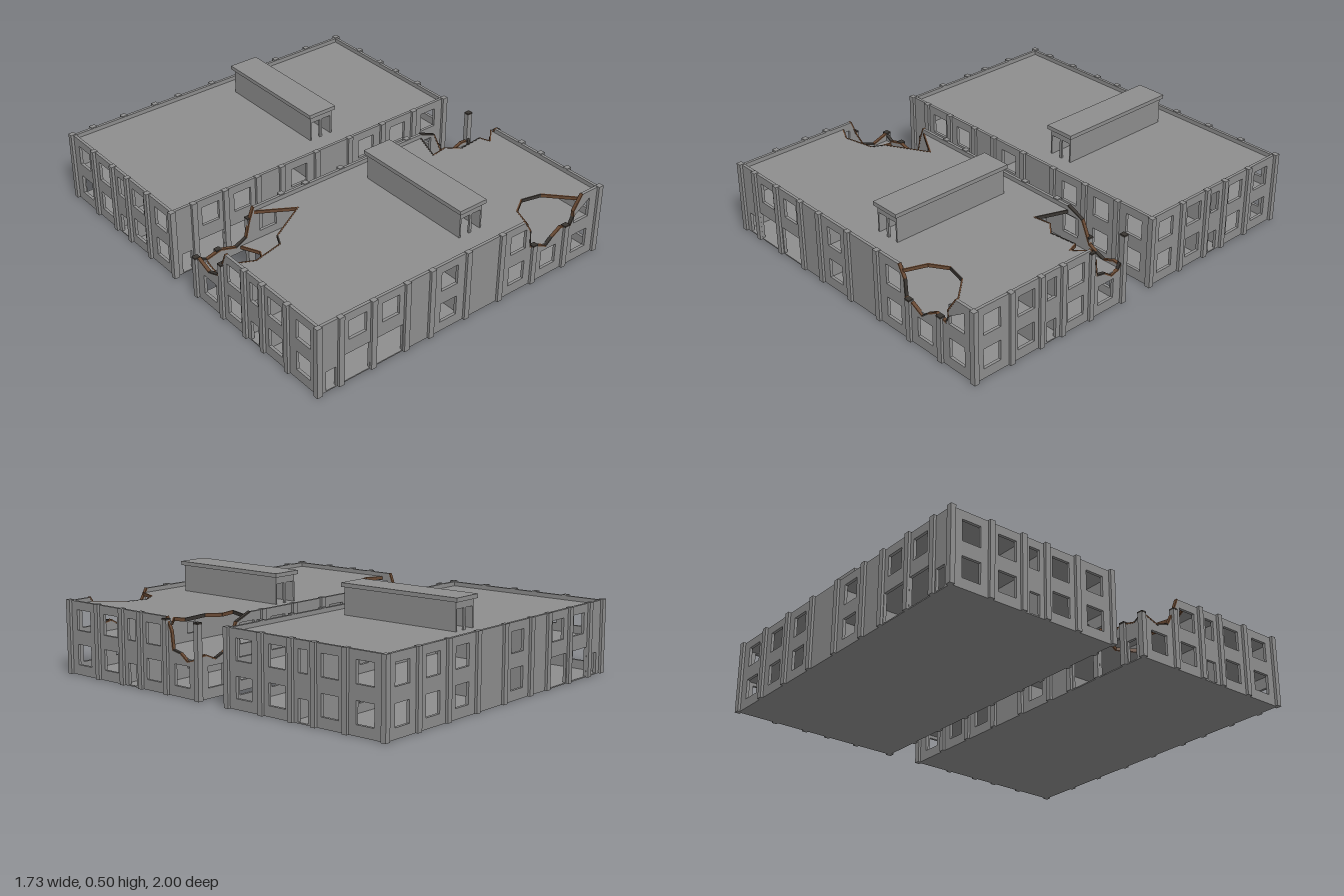
import * as THREE from 'three';

const mat = (name, color, side = THREE.FrontSide) => {
  const m = new THREE.MeshStandardMaterial({ color, side });
  m.name = name;
  return m;
};
const concrete = mat('concrete grey', 0x8e8e8e);
const brick = mat('broken brick brown', 0x664731);
const core = mat('dark rubble', 0x3a3632);

const W = 0.85, D = 0.447, H = 0.366, T = 0.015; // half width, half depth, wall height, thickness

function box(parent, name, w, h, d, x, y, z, m = concrete) {
  const mesh = new THREE.Mesh(new THREE.BoxGeometry(w, h, d), m);
  mesh.name = name;
  mesh.position.set(x, y, z);
  parent.add(mesh);
  return mesh;
}

// Flat panel with rectangular openings [centre, bottom, width, height] and strips along broken edges
function panel(name, outline, openings, breaks) {
  const group = new THREE.Group();
  group.name = name;
  const shape = new THREE.Shape(outline.map(p => new THREE.Vector2(p[0], p[1])));
  for (const [c, y, w, h] of openings) {
    shape.holes.push(new THREE.Path([[-1, 0], [-1, 1], [1, 1], [1, 0]]
      .map(([a, b]) => new THREE.Vector2(c + a * w / 2, y + b * h))));
  }
  const geo = new THREE.ExtrudeGeometry(shape, { depth: T, bevelEnabled: false });
  geo.translate(0, 0, -T / 2);
  const mesh = new THREE.Mesh(geo, concrete);
  mesh.name = name + 'Panel';
  group.add(mesh);
  for (const line of breaks) {
    for (let i = 1; i < line.length; i++) {
      const [ax, ay] = line[i - 1], [bx, by] = line[i];
      const strip = box(group, 'brokenEdge', Math.hypot(bx - ax, by - ay) + 0.003, 0.007, T + 0.002,
        (ax + bx) / 2, (ay + by) / 2, 0, i % 3 ? brick : core);
      strip.rotation.z = Math.atan2(by - ay, bx - ax);
    }
  }
  return group;
}

// Upright wall; breaks run along the top from +w to -w
function wall(name, w, openings, breaks = []) {
  const top = breaks.flat();
  const outline = [[-w, 0], [w, 0]];
  if (!top.length || top[0][0] < w) outline.push([w, H]);
  outline.push(...top);
  if (!top.length || top[top.length - 1][0] > -w) outline.push([-w, H]);
  return panel(name, outline, openings, breaks);
}

// Openings of the long walls and of the end walls; skip lists upper windows lost to damage
const longOpenings = (skip = []) => [
  ...[-0.635, -0.45, -0.107, 0.32, 0.53, 0.74].filter(x => !skip.includes(x)).map(x => [x, 0.222, 0.097, 0.102]),
  ...[-0.107, 0.32, 0.53, 0.74].map(x => [x, 0.05, 0.097, 0.102]),
  [-0.64, 0.004, 0.15, 0.146], [-0.453, 0.004, 0.15, 0.146], [-0.78, 0.004, 0.055, 0.106]];
const endOpenings = (skip = []) => [
  ...[-0.34, -0.15, 0.15, 0.347].filter(z => !skip.includes(z)).map(z => [z, 0.222, 0.097, 0.102]),
  ...[-0.34, -0.15, 0.15, 0.347].map(z => [z, 0.05, 0.097, 0.102]),
  [0, 0.222, 0.055, 0.104], [0, 0.004, 0.055, 0.106]];

const longPosts = [-0.85, -0.73, -0.55, -0.36, -0.215, 0, 0.21, 0.425, 0.635, 0.85];
const endPosts = [-0.24, -0.065, 0.065, 0.24];

// Break lines of the ruined building
const ruin = {
  front: [[[0.735, H], [0.685, 0.29], [0.688, 0.26], [0.67, 0.22], [0.605, 0.235], [0.55, 0.203],
    [0.51, 0.17], [0.45, 0.2], [0.4, 0.215], [0.395, 0.305], [0.36, H]]],
  back: [
    [[0.85, 0.2], [0.8, 0.205], [0.74, 0.18], [0.69, 0.2], [0.65, 0.22], [0.6, 0.33], [0.51, H]],
    [[-0.53, H], [-0.555, 0.3], [-0.575, 0.215], [-0.635, 0.185], [-0.72, 0.21], [-0.8, 0.19], [-0.85, 0.22]]],
  right: [[[-0.24, H], [-0.27, 0.3], [-0.28, 0.215], [-0.33, 0.205], [-0.375, 0.172], [-0.42, 0.185], [-0.432, 0.215]]],
  left: [[[-0.21, H], [-0.24, 0.29], [-0.28, 0.215], [-0.35, 0.19], [-0.432, 0.22]]],
  roof: [
    [[0.38, 0.437], [0.42, 0.33], [0.505, 0.275], [0.61, 0.3], [0.735, 0.437]],
    [[0.84, -0.27], [0.76, -0.195], [0.74, -0.25], [0.6, -0.235], [0.54, -0.29], [0.45, -0.275], [0.51, -0.437]],
    [[-0.53, -0.437], [-0.35, -0.33], [-0.56, -0.21], [-0.59, -0.15], [-0.75, -0.115], [-0.84, -0.16]]],
  floor: [[[-0.61, -0.437], [-0.565, -0.34], [-0.615, -0.25], [-0.72, -0.34], [-0.82, -0.325], [-0.8, -0.437]]],
  // broken post heights, keyed by side and position
  posts: { 'front0.425': 0.215, 'front0.635': 0.235, 'back-0.85': 0.22, 'back-0.73': 0.21, 'back-0.55': 0.31,
    'back0.635': 0.25, 'back0.85': 0.36, 'left-0.24': 0.3, 'right-0.24': 0.355 },
};

function slab(name, y, outline, breaks) {
  const s = panel(name, outline, [], breaks);
  s.rotation.x = Math.PI / 2;
  s.position.y = y;
  return s;
}

// Long raised roof light with twin openings at both ends
function roofLight() {
  const g = new THREE.Group();
  g.name = 'roofLight';
  box(g, 'roofLightCap', 0.16, 0.02, 0.666, 0.13, 0.489, 0);
  for (const x of [0.067, 0.193]) box(g, 'roofLightSide', 0.008, 0.14, 0.64, x, 0.41, 0);
  for (const z of [-0.315, 0.315]) {
    box(g, 'roofLightPost', 0.014, 0.14, 0.01, 0.13, 0.41, z);
    box(g, 'roofLightLintel', 0.126, 0.036, 0.01, 0.13, 0.463, z);
  }
  return g;
}

function building(name, damage) {
  const g = new THREE.Group();
  g.name = name;
  const d = damage || { front: [], back: [], right: [], left: [], roof: [], floor: [], posts: {} };
  const ix = W - 0.01, iz = D - 0.01;

  // Outer walls
  const front = wall('frontWall', W, longOpenings(damage ? [0.53] : []), d.front);
  front.position.z = D - T / 2;
  const back = wall('backWall', W, longOpenings(damage ? [0.74, -0.635] : []), d.back);
  back.position.z = -D + T / 2;
  g.add(front, back);
  for (const [side, s] of [['right', 1], ['left', -1]]) {
    const end = wall(side + 'EndWall', D - T, endOpenings(damage ? [-0.34] : []), d[side]);
    end.rotation.y = -Math.PI / 2;
    end.position.x = s * (W - T / 2);
    g.add(end);
  }

  // Square posts around the outside, broken ones with dark tops
  const post = (key, x, z) => {
    const h = d.posts[key] || 0.37;
    box(g, 'wallPost', 0.029, h, 0.026, x, h / 2, z);
    if (d.posts[key]) box(g, 'brokenPostTop', 0.03, 0.008, 0.027, x, h, z, core);
  };
  for (const x of longPosts) {
    post('front' + x, x, D);
    post('back' + x, x, -D);
  }
  for (const z of endPosts) {
    post('right' + z, W, z);
    post('left' + z, -W, z);
  }

  // Ground slab, upper floor and roof
  box(g, 'groundSlab', 2 * W, 0.006, 2 * D, 0, 0.003, 0);
  const roofEdge = [[-ix, iz], ...(d.roof[0] || []), [ix, iz], ...(d.roof[1] || [[ix, -iz]]),
    ...(d.roof[2] || [[-ix, -iz]])];
  g.add(slab('roofSlab', 0.337, roofEdge, d.roof));
  g.add(slab('upperFloor', 0.175, [[-ix, iz], [ix, iz], [ix, -iz], ...(d.floor[0] || []), [-ix, -iz]], d.floor));

  // Corridor walls with doors and small windows, open at the stair hall
  for (const z of [-0.065, 0.065]) {
    for (const [a, b, c] of [[-ix, -0.215, -0.637], [0, ix, 0.53]]) {
      const holes = [[c, 0.222, 0.056, 0.054]];
      if (c > 0) holes.push([c, 0.05, 0.06, 0.058]);
      else if (z > 0) holes.push([-0.675, 0.008, 0.052, 0.102], [-0.605, 0.05, 0.052, 0.056]);
      const w = panel('corridorWall', [[a, 0.004], [b, 0.004], [b, 0.331], [a, 0.331]], holes, []);
      w.position.z = z;
      g.add(w);
    }
  }
  // Cross walls beside the stair hall
  for (const x of [-0.215, 0]) {
    for (const s of [-1, 1]) box(g, 'crossWall', T, 0.327, 0.37, x, 0.167, s * 0.25);
  }
  box(g, 'hallScreen', T, 0.165, 0.13, 0, 0.085, 0);

  g.add(roofLight());
  return g;
}

export function createModel() {
  const model = new THREE.Group();
  model.name = 'twinBlocks';
  const rear = building('intactBlock', null);
  rear.position.z = -0.54;
  const fore = building('ruinedBlock', ruin);
  fore.position.z = 0.54;
  model.add(rear, fore);
  return model;
}
